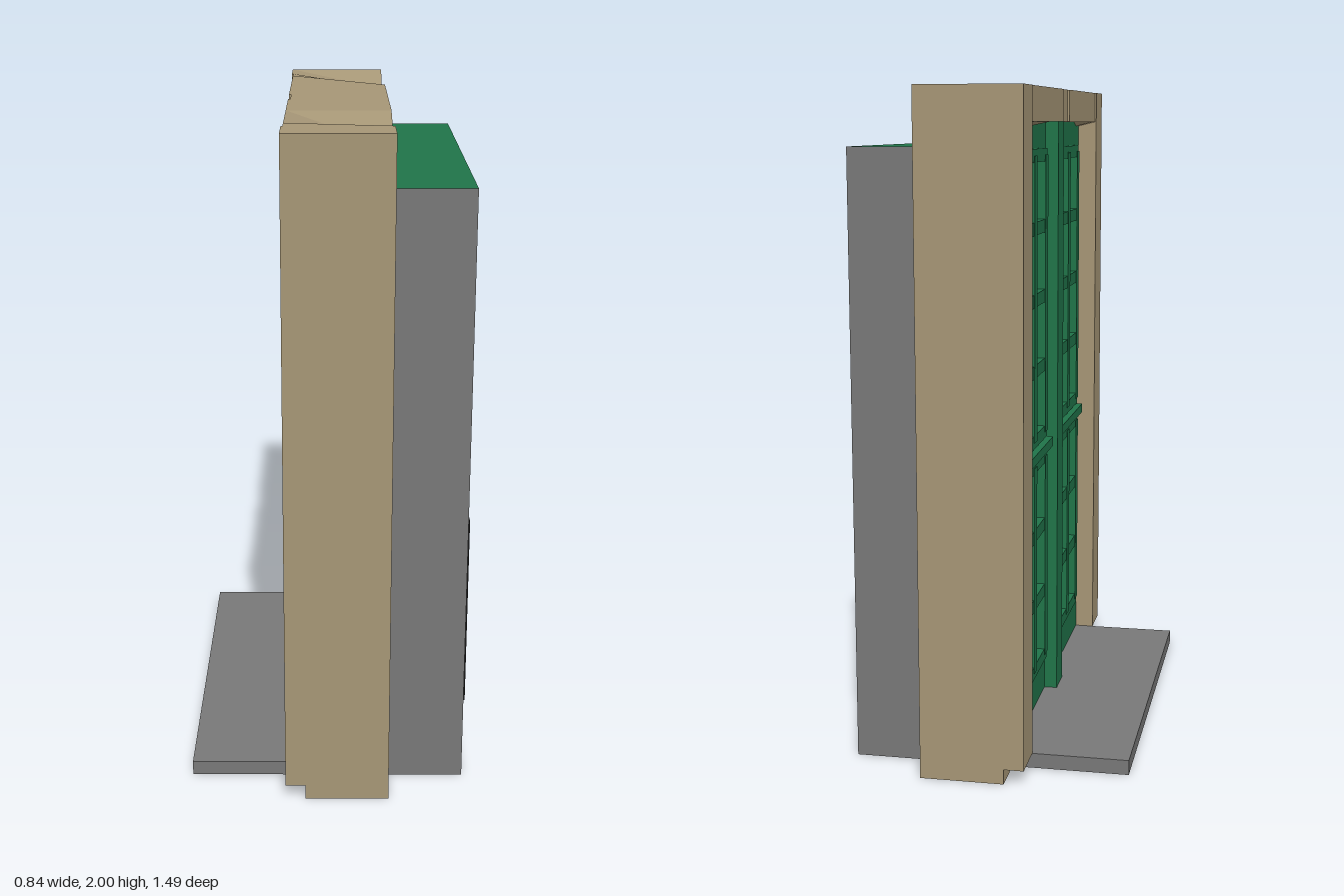
import * as THREE from 'three';

const mat = (color) => new THREE.MeshStandardMaterial({ color, flatShading: true });

export function createModel() {
  const model = new THREE.Group();
  const tan = mat(0xa69676), green = mat(0x207449), black = mat(0x181818), grey = mat(0x787878);

  // box given by its limits on each axis
  function box(name, material, [x0, x1], [y0, y1], [z0, z1], parent = model) {
    const mesh = new THREE.Mesh(new THREE.BoxGeometry(x1 - x0, y1 - y0, z1 - z0), material);
    mesh.position.set((x0 + x1) / 2, (y0 + y1) / 2, (z0 + z1) / 2);
    mesh.name = name;
    parent.add(mesh);
    return mesh;
  }

  // loft of four-cornered sections along z
  function loft(sections) {
    const pos = [];
    const tri = (...pts) => pts.forEach((p) => pos.push(...p));
    for (let s = 0; s < sections.length - 1; s++) {
      const A = sections[s], B = sections[s + 1];
      for (let i = 0; i < 4; i++) {
        const j = (i + 1) % 4;
        tri(A[i], B[j], A[j]);
        tri(A[i], B[i], B[j]);
      }
    }
    const F = sections[0], L = sections[sections.length - 1];
    tri(F[0], F[1], F[2]); tri(F[0], F[2], F[3]);
    tri(L[0], L[2], L[1]); tri(L[0], L[3], L[2]);
    const g = new THREE.BufferGeometry();
    g.setAttribute('position', new THREE.Float32BufferAttribute(pos, 3));
    g.computeVertexNormals();
    return g;
  }

  // header: [z, front x, back top y, back bottom y], with two sagging spots at the back
  const header = new THREE.Mesh(loft([
    [-0.745, -0.13, 2, 1.9], [-0.61, -0.13, 1.95, 1.9], [-0.61, -0.125, 1.95, 1.9],
    [-0.555, -0.125, 1.93, 1.825], [-0.305, -0.125, 2, 1.9],
    [-0.055, -0.125, 2, 1.9], [-0.055, -0.118, 2, 1.9],
    [0.055, -0.118, 2, 1.9], [0.055, -0.125, 2, 1.9],
    [0.305, -0.125, 2, 1.9], [0.555, -0.125, 1.93, 1.825], [0.61, -0.125, 2, 1.9],
    [0.61, -0.13, 2, 1.9], [0.745, -0.13, 2, 1.9],
  ].map(([z, xf, top, bottom]) => [[xf, 1.9, z], [xf, 2, z], [0.18, top, z], [0.18, bottom, z]])), tan);
  header.name = 'header';
  model.add(header);

  // jambs, notched at the foot to sit over the step
  const profile = new THREE.Shape([
    [-0.07, 0], [0.18, 0], [0.18, 1.9], [-0.13, 1.9], [-0.13, 0.045], [-0.07, 0.045],
  ].map(([x, y]) => new THREE.Vector2(x, y)));
  for (const z of [-0.745, 0.61]) {
    const jamb = new THREE.Mesh(
      new THREE.ExtrudeGeometry(profile, { depth: 0.135, bevelEnabled: false }), tan);
    jamb.position.z = z;
    jamb.name = 'jamb';
    model.add(jamb);
  }

  // step and rear body with grey sides
  box('step', grey, [-0.42, -0.06], [0, 0.045], [-0.61, 0.61]);
  box('rearBody', [green, green, green, green, grey, grey], [-0.03, 0.41], [0, 1.83], [-0.61, 0.61]);
  box('transomBacking', green, [-0.03, 0.12], [1.8, 1.9], [-0.61, 0.61]);
  box('mullion', green, [-0.108, -0.02], [0.045, 1.9], [-0.052, 0.052]);

  // two door leaves
  for (const side of [-1, 1]) {
    const leaf = new THREE.Group();
    leaf.name = side > 0 ? 'leftLeaf' : 'rightLeaf';
    model.add(leaf);
    const span = (a, b) => (side > 0 ? [a, b] : [-b, -a]);
    const part = (name, m, x, y, a, b) => box(name, m, x, y, span(a, b), leaf);
    const frame = [-0.067, -0.02];

    // stiles and rails
    part('innerStile', green, frame, [0.045, 1.9], 0.05, 0.12);
    part('outerStile', green, frame, [0.045, 1.9], 0.5, 0.61);
    part('bottomRail', green, frame, [0.045, 0.19], 0.12, 0.5);
    part('middleRail', green, frame, [0.85, 0.93], 0.12, 0.5);
    part('topRail', green, frame, [1.8, 1.9], 0.12, 0.5);
    part('railMoulding', green, [-0.1, -0.06], [0.875, 0.905], 0.09, 0.52);

    // glazed sections: glass, surround and bars
    for (const [y0, y1, rows] of [[0.19, 0.85, 3], [0.93, 1.8, 4]]) {
      part('glass', black, [-0.052, -0.025], [y0, y1], 0.12, 0.5);
      const bar = [-0.085, -0.03], w = 0.022;
      for (const z of [0.125, 0.31, 0.495]) {
        part('verticalBar', green, bar, [y0, y1], z - w, z + w);
      }
      for (let r = 0; r <= rows; r++) {
        const y = y0 + ((y1 - y0) * r) / rows;
        part('horizontalBar', green, [-0.083, -0.03], [y - 0.02, y + 0.02], 0.11, 0.51);
      }
    }

    // rear panel with dark glazing in two strips
    part('rearPanel', green, [0.4, 0.413], [0.05, 0.915], 0.055, 0.555);
    part('rearGlassInner', black, [0.4, 0.419], [0.22, 0.915], 0.053, 0.307);
    part('rearGlassOuter', black, [0.4, 0.419], [0.23, 0.825], 0.307, 0.555);
  }

  return model;
}
